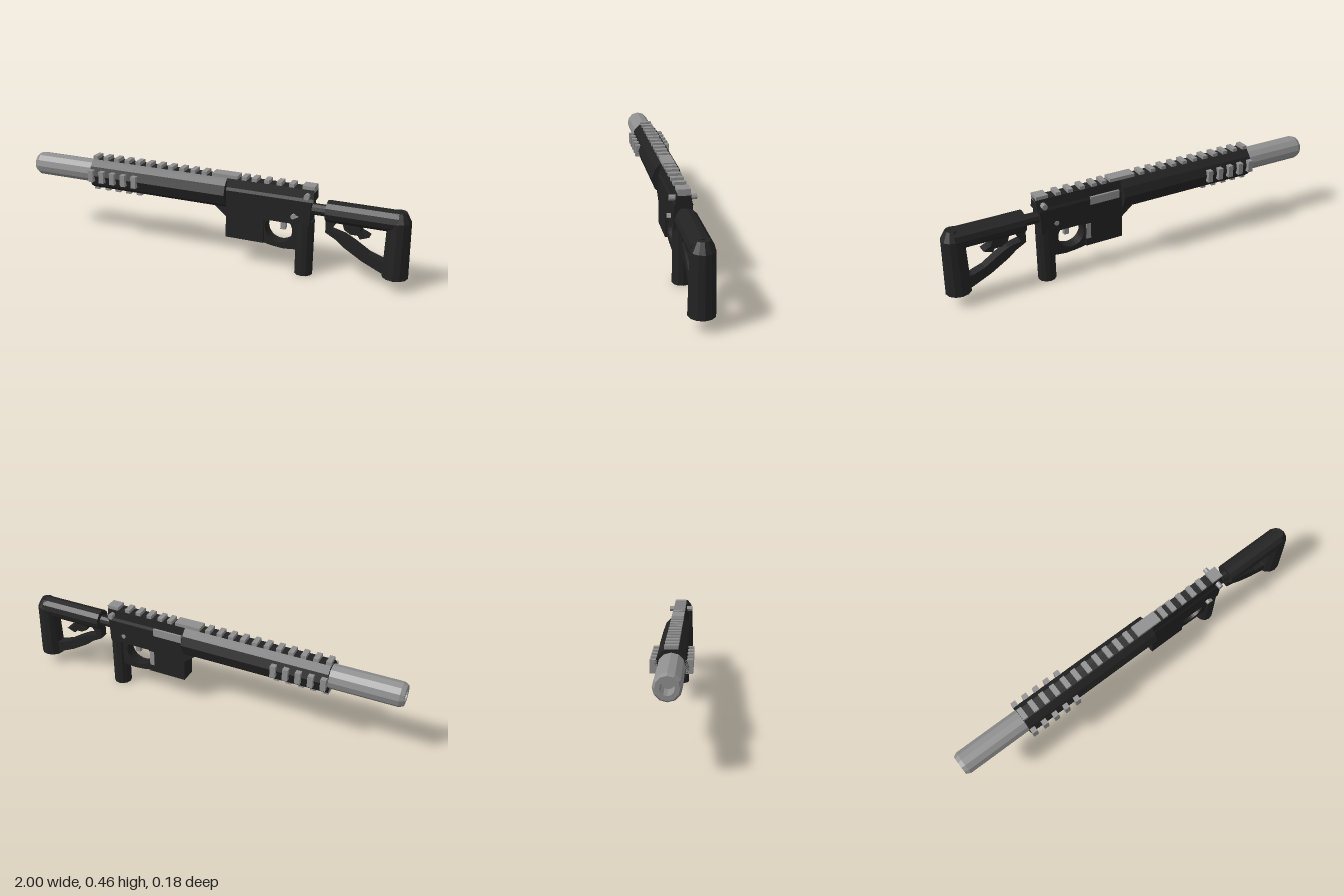
import * as THREE from 'three';

const dark = new THREE.MeshStandardMaterial({ color: 0x222222, flatShading: true });
const grey = new THREE.MeshStandardMaterial({ color: 0x8f8f8f, flatShading: true });

const toShape = (pts) => new THREE.Shape(pts.map(([x, y]) => new THREE.Vector2(x, y)));

// side profile (x, y) extruded to a width centred on z = 0
function slab(shape, width) {
  const geo = new THREE.ExtrudeGeometry(shape, { depth: width, bevelEnabled: false, curveSegments: 12 });
  return geo.translate(0, 0, -width / 2);
}

// half cross-section (z, y) from bottom to top, mirrored and run along x
function runAlongX(half, x0, x1) {
  const mirrored = half.map(([z, y]) => [-z, y]).reverse();
  const geo = new THREE.ExtrudeGeometry(toShape([...half, ...mirrored]), { depth: x1 - x0, bevelEnabled: false });
  return geo.rotateY(Math.PI / 2).translate(x0, 0, 0);
}

// box given by its limits on each axis
function block(x0, x1, y0, y1, z0, z1) {
  return new THREE.BoxGeometry(x1 - x0, y1 - y0, z1 - z0)
    .translate((x0 + x1) / 2, (y0 + y1) / 2, (z0 + z1) / 2);
}

export function createModel() {
  const model = new THREE.Group();
  const add = (name, geo, mat, parent = model) => {
    const mesh = new THREE.Mesh(geo, mat);
    mesh.name = name;
    parent.add(mesh);
    return mesh;
  };
  const group = (name) => {
    const g = new THREE.Group();
    g.name = name;
    model.add(g);
    return g;
  };

  // suppressor with chamfered muzzle and bore
  const tube = [[0.06, 0.64], [0.06, 0.98], [0.05, 1], [0.03, 1], [0.03, 0.9], [0, 0.9]];
  add('suppressor', new THREE.LatheGeometry(tube.map(([r, y]) => new THREE.Vector2(r, y)), 12)
    .rotateZ(Math.PI / 2).translate(0, 0.37, 0), grey);

  // faceted handguard
  add('handguard', runAlongX([[0.04, 0.297], [0.06, 0.315], [0.076, 0.367], [0.06, 0.412], [0.038, 0.435], [0.03, 0.443]],
    -0.65, 0.1), dark);

  // rail teeth on top, sides and bottom
  const topRail = group('topRail');
  const teeth = [0.187, 0.24, 0.302, 0.365, 0.427];
  for (let i = 0; i < 11; i++) teeth.push(-0.637 + i * 0.0615);
  for (const x of teeth) add('railTooth', block(x - 0.013, x + 0.013, 0.433, 0.46, -0.03, 0.03), grey, topRail);
  add('railBridge', block(0.02, 0.155, 0.433, 0.46, -0.03, 0.03), grey, topRail);
  add('rearRailBlock', block(0.48, 0.54, 0.43, 0.46, -0.03, 0.03), grey, topRail);

  const lowerRails = group('sideAndBottomRails');
  for (let i = 0; i < 5; i++) {
    const x0 = -0.65 + i * 0.062, x1 = x0 + 0.027;
    add('leftRailTooth', block(x0, x1, 0.338, 0.398, 0.06, 0.092), grey, lowerRails);
    add('rightRailTooth', block(x0, x1, 0.338, 0.398, -0.092, -0.06), grey, lowerRails);
    add('bottomRailTooth', block(x0, x1, 0.28, 0.305, -0.03, 0.03), grey, lowerRails);
  }

  // receiver
  add('upperReceiver', runAlongX([[0.043, 0.385], [0.037, 0.4], [0.03, 0.443]], 0.1, 0.54), dark);
  add('lowerReceiver', slab(toShape([[0.04, 0.3], [0.1, 0.25], [0.1, 0.14], [0.297, 0.14], [0.297, 0.265],
    [0.46, 0.265], [0.525, 0.265], [0.53, 0.385], [0.04, 0.385]]), 0.086), dark);

  // trigger guard with rounded opening
  const guard = toShape([[0.28, 0.27], [0.28, 0.14], [0.34, 0.128], [0.4, 0.123], [0.47, 0.13], [0.47, 0.27]]);
  const opening = new THREE.Path();
  opening.absarc(0.37, 0.22, 0.069, 2.45, Math.PI * 2 + 0.69, false);
  opening.closePath();
  guard.holes.push(opening);
  add('triggerGuard', slab(guard, 0.06), dark);
  add('trigger', block(0.373, 0.398, 0.215, 0.27, -0.012, 0.012), grey);

  // controls
  add('ejectionPort', block(0.115, 0.27, 0.36, 0.4, -0.048, -0.036), grey);
  add('magazineCatch', block(0.272, 0.296, 0.18, 0.26, -0.046, -0.04), grey);
  add('chargingHandle', new THREE.CylinderGeometry(0.014, 0.014, 0.124, 8)
    .rotateX(Math.PI / 2).translate(0.51, 0.415, 0), grey);
  add('selectorPin', new THREE.CylinderGeometry(0.012, 0.012, 0.106, 8)
    .rotateX(Math.PI / 2).translate(0.448, 0.307, 0.007), grey);
  add('selectorLever', slab(toShape([[0.445, 0.298], [0.472, 0.307], [0.445, 0.316]]), 0.016)
    .translate(0, 0, 0.053), grey);

  // pistol grip
  add('grip', new THREE.CylinderGeometry(0.045, 0.045, 0.28, 12).translate(0.495, 0.14, 0), dark);

  // stock tube
  add('bufferTube', new THREE.CylinderGeometry(0.028, 0.028, 0.12, 10)
    .rotateZ(Math.PI / 2).translate(0.57, 0.341, 0), dark);
  add('stockTube', new THREE.CylinderGeometry(0.053, 0.053, 0.34, 12)
    .rotateZ(Math.PI / 2).translate(0.77, 0.342, 0), dark);

  // curved strut below the stock tube
  add('stockStrut', slab(toShape([[0.6, 0.31], [0.6, 0.24], [0.65, 0.213], [0.69, 0.18], [0.78, 0.125], [0.905, 0.067],
    [0.93, 0.067], [0.93, 0.14], [0.87, 0.142], [0.81, 0.163], [0.74, 0.208], [0.69, 0.235], [0.625, 0.252],
    [0.64, 0.28], [0.66, 0.31]]), 0.05), dark);

  // adjustment lever
  add('stockLever', slab(toShape([[0.68, 0.3], [0.69, 0.268], [0.72, 0.25], [0.755, 0.25], [0.765, 0.233], [0.785, 0.24],
    [0.81, 0.25], [0.79, 0.26], [0.77, 0.268], [0.76, 0.3]]), 0.05), dark);

  // butt with slanted cap
  const butt = group('butt');
  butt.position.set(0.938, 0, 0);
  add('buttBody', new THREE.CylinderGeometry(0.0535, 0.06, 0.28, 12).scale(1.03, 1, 1).translate(0, 0.205, 0), dark, butt);
  add('buttCap', new THREE.CylinderGeometry(0.03, 0.0535, 0.045, 12).scale(1.03, 1, 1).translate(0, 0.3675, 0), dark, butt);

  return model;
}
